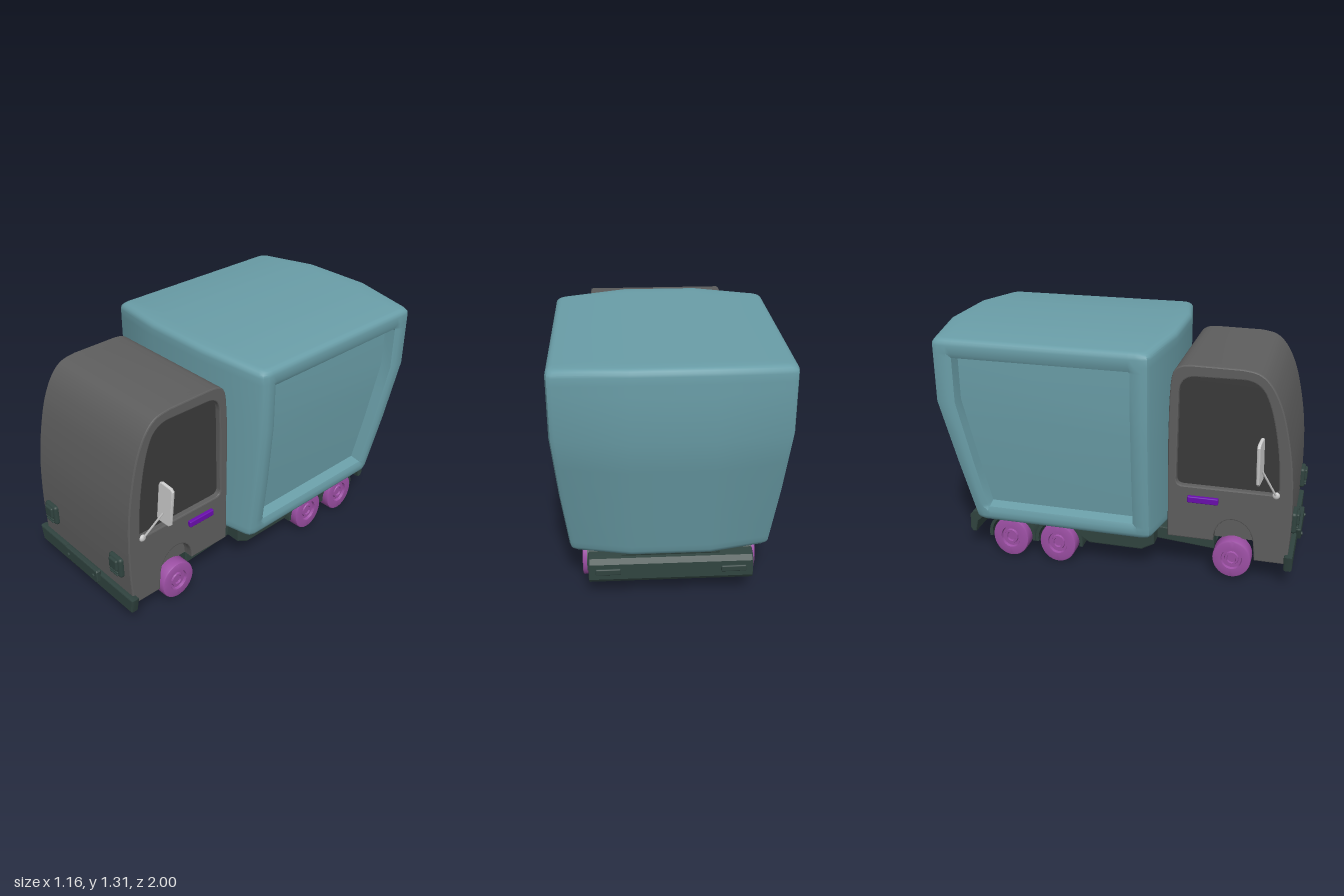
import * as THREE from 'three';
import { toCreasedNormals } from 'three/addons/utils/BufferGeometryUtils.js';
import { RoundedBoxGeometry } from 'three/addons/geometries/RoundedBoxGeometry.js';

const mat = (color) => new THREE.MeshStandardMaterial({ color });
const V2 = (p) => new THREE.Vector2(p[0], p[1]);
const { lerp, clamp } = THREE.MathUtils;

export function createModel() {
  const truck = new THREE.Group();
  const cabMat = mat(0x5e5e5e), glassMat = mat(0x3a3a3a), boxMat = mat(0x6a9ea8);
  const darkMat = mat(0x30433f), wheelMat = mat(0x9c4fa4), handleMat = mat(0x6a0dad), greyMat = mat(0xcccccc);

  const add = (name, geo, material, x = 0, y = 0, z = 0) => {
    const m = new THREE.Mesh(geo, material);
    m.name = name;
    m.position.set(x, y, z);
    truck.add(m);
    return m;
  };
  const rbox = (w, h, d, r) => new RoundedBoxGeometry(w, h, d, 3, r);
  const extrude = (shape, depth, bevel) => toCreasedNormals(new THREE.ExtrudeGeometry(shape, {
    depth: depth - 2 * bevel, curveSegments: 12, bevelEnabled: bevel > 0,
    bevelSize: bevel, bevelThickness: bevel, bevelOffset: -bevel, bevelSegments: 2,
  }).translate(0, 0, bevel), 0.36);
  // Extrudes a side profile (z, y) across the width from x0 to x1
  const slab = (shape, x0, x1, bevel = 0) =>
    extrude(shape, x1 - x0, bevel).rotateY(-Math.PI / 2).translate(x1, 0, 0);
  // The same slab on the left (s = 1) or right (s = -1) side
  const sideSlab = (s, shape, a, b, bevel) => (s > 0 ? slab(shape, a, b, bevel) : slab(shape, -b, -a, bevel));
  const poly = (pts) => new THREE.Shape(pts.map(V2));

  // ---- Cargo box: rings stacked in height, with a recessed panel in each side
  const table = (t, y) => {
    for (let i = 1; i < t.length; i++) {
      if (y <= t[i][0] || i === t.length - 1) {
        const k = clamp((y - t[i - 1][0]) / (t[i][0] - t[i - 1][0]), 0, 1);
        return lerp(t[i - 1][1], t[i][1], k);
      }
    }
  };
  const halfWidth = [[0.235, 0.51], [0.6, 0.55], [0.95, 0.578], [1.3, 0.58]];
  const backZ = [[0.235, -0.835], [0.95, -1], [1.3, -1]];
  const panelBackZ = [[0.32, -0.705], [0.95, -0.83], [1.3, -0.83]];
  // level: 0 outer skin, 1 rounded lip of the recess, 2 panel
  const boxRing = (y, inset, level, xMax) => {
    const w = table(halfWidth, y) - inset, zf = 0.285 - inset, zb = table(backZ, y) + inset;
    const zr = table(panelBackZ, y);
    const wide = (k) => w - [0, 0.012, 0.072][Math.min(k, level)];
    const half = [[0, zf], [0.2, zf], [w - 0.03, zf - 0.06], [w - 0.009, zf - 0.072], [w, zf - 0.1],
      [w, 0.15], [wide(1), 0.124], [wide(2), 0.116],
      [wide(2), zr + 0.008], [wide(1), zr], [w, zr - 0.026],
      [w, zb + 0.1], [w - 0.009, zb + 0.072], [w - 0.03, zb + 0.06], [0.2, zb], [0, zb]];
    const ring = half.map(([x, z]) => {
      const xx = Math.min(x, xMax);
      const crown = y > 1.2 ? 0.02 * (1 - clamp((xx - 0.2) / 0.35, 0, 1)) : 0;
      return [xx, y + crown, z];
    });
    return [...ring, ...ring.slice().reverse().map(([x, y2, z]) => [-x, y2, z])];
  };
  const r = 0.035, y0 = 0.235, y1 = 1.295, rows = [boxRing(y0, r, 0, 0)];
  for (let k = 0; k <= 4; k++) {
    const a = k * Math.PI / 8;
    rows.push(boxRing(y0 + r * (1 - Math.cos(a)), r * (1 - Math.sin(a)), 0, 1));
  }
  rows.push(boxRing(0.302, 0, 0, 1), boxRing(0.326, 0, 1, 1));
  for (const y of [0.34, 0.6, 0.78, 0.95, 1.186]) rows.push(boxRing(y, 0, 2, 1));
  rows.push(boxRing(1.194, 0, 1, 1), boxRing(1.22, 0, 0, 1));
  for (let k = 0; k <= 4; k++) {
    const a = k * Math.PI / 8;
    rows.push(boxRing(y1 - r * (1 - Math.sin(a)), r * (1 - Math.cos(a)), 0, 1));
  }
  rows.push(boxRing(y1, r, 0, 0.2), boxRing(y1, r, 0, 0));
  const n = rows[0].length, index = [];
  for (let i = 0; i < rows.length - 1; i++) {
    for (let j = 0; j < n; j++) {
      const a = i * n + j, b = i * n + (j + 1) % n;
      index.push(a, b, a + n, b, b + n, a + n);
    }
  }
  const boxGeo = new THREE.BufferGeometry();
  boxGeo.setAttribute('position', new THREE.Float32BufferAttribute(rows.flat(2), 3));
  boxGeo.setIndex(index);
  add('cargoBox', toCreasedNormals(boxGeo.toNonIndexed(), 0.6), boxMat);

  // ---- Cab: side profile, with wheel arches and window recesses in the outer layers
  const cabShape = (arch) => {
    const s = new THREE.Shape();
    s.moveTo(0.29, 0.22);
    if (arch) {
      s.lineTo(0.54, 0.22);
      s.bezierCurveTo(0.54, 0.4, 0.73, 0.4, 0.755, 0.24);
      s.lineTo(0.765, 0.13);
    } else {
      s.lineTo(0.9, 0.22);
      s.lineTo(0.9, 0.13);
    }
    s.lineTo(0.94, 0.13);
    s.splineThru([[0.95, 0.35], [0.945, 0.58], [0.925, 0.76], [0.885, 0.95], [0.84, 1.07],
      [0.79, 1.145], [0.735, 1.183], [0.66, 1.197]].map(V2));
    s.lineTo(0.4, 1.2);
    s.splineThru([[0.35, 1.193], [0.315, 1.17], [0.297, 1.12], [0.288, 1.0]].map(V2));
    s.lineTo(0.285, 0.8);
    return s;
  };
  const windowPath = (s) => {
    s.moveTo(0.37, 0.53);
    s.lineTo(0.84, 0.53);
    s.quadraticCurveTo(0.875, 0.53, 0.874, 0.57);
    s.bezierCurveTo(0.87, 0.75, 0.83, 0.97, 0.785, 1.06);
    s.quadraticCurveTo(0.75, 1.14, 0.66, 1.14);
    s.lineTo(0.42, 1.137);
    s.quadraticCurveTo(0.345, 1.135, 0.338, 1.05);
    s.lineTo(0.332, 0.57);
    s.quadraticCurveTo(0.332, 0.53, 0.37, 0.53);
    return s;
  };
  add('cabCore', slab(cabShape(false), -0.335, 0.335), cabMat);
  const doorShape = cabShape(true);
  doorShape.holes.push(windowPath(new THREE.Path()));
  for (const s of [-1, 1]) {
    add('cabWall', sideSlab(s, cabShape(true), 0.335, 0.357), cabMat);
    add('cabDoor', sideSlab(s, doorShape, 0.348, 0.395, 0.007), cabMat);
    add('sideWindow', sideSlab(s, windowPath(new THREE.Shape()), 0.345, 0.362), glassMat);
    add('doorHandle', rbox(0.026, 0.036, 0.165, 0.006), handleMat, s * 0.402, 0.46, 0.48);

    // Mirror on its arm
    const plate = poly([[-0.03, 0.12], [-0.015, 0.125], [0.043, 0.112], [0.056, 0.095], [0.035, -0.11],
      [0.02, -0.124], [-0.045, -0.115], [-0.058, -0.098], [-0.037, 0.105]].map(([x, y]) => [s * x, y]));
    add('mirror', extrude(plate, 0.018, 0.006).translate(0, 0, -0.009), greyMat, s * 0.489, 0.75, 0.78).rotation.y = s * 0.14;
    const arm = new THREE.LineCurve3(new THREE.Vector3(s * 0.4, 0.53, 0.862), new THREE.Vector3(s * 0.48, 0.7, 0.79));
    add('mirrorArm', new THREE.TubeGeometry(arm, 1, 0.006, 8), greyMat);
    add('mirrorPivot', new THREE.SphereGeometry(0.02, 12, 8), greyMat, s * 0.396, 0.53, 0.862).scale.x = 0.6;

    // Headlight
    add('headlightFrame', rbox(0.102, 0.12, 0.035, 0.016), darkMat, s * 0.293, 0.35, 0.957);
    add('headlightLens', rbox(0.066, 0.066, 0.022, 0.01), darkMat, s * 0.293, 0.367, 0.976);
    for (const y of [0.307, 0.322]) add('headlightSlat', rbox(0.066, 0.01, 0.016, 0.004), darkMat, s * 0.293, y, 0.975);
  }

  // ---- Front bumper and plate holder
  const bumper = poly([[-0.428, 0.19], [-0.41, 0.1], [0.41, 0.1], [0.428, 0.19]]);
  add('frontBumper', extrude(bumper, 0.045, 0.008), darkMat, 0, 0, 0.925);
  const plateShape = poly([[-0.15, 0.215], [-0.125, 0.15], [-0.112, 0.143], [0.135, 0.138], [0.146, 0.15],
    [0.148, 0.212], [0.14, 0.22], [-0.142, 0.22]]);
  add('plateHolder', extrude(plateShape, 0.03, 0.006), darkMat, 0, 0, 0.962);
  for (const x of [-0.115, 0.115]) {
    add('plateBolt', new THREE.CylinderGeometry(0.011, 0.011, 0.012, 12).rotateX(Math.PI / 2), darkMat, x, 0.18, 0.994);
  }

  // ---- Chassis
  const frame = poly([[0.9, 0.23], [0.88, 0.17], [0.74, 0.19], [0.56, 0.19], [0.54, 0.14], [0.22, 0.165],
    [-0.8, 0.165], [-0.83, 0.245], [0.28, 0.25]]);
  add('chassisFrame', slab(frame, -0.25, 0.25), darkMat);
  const tank = poly([[0.22, 0.245], [0.22, 0.165], [0.15, 0.125], [-0.15, 0.125], [-0.22, 0.165], [-0.22, 0.245]]);
  const step = poly([[0.54, 0.22], [0.54, 0.14], [0.22, 0.165], [0.22, 0.24]]);
  for (const s of [-1, 1]) {
    add('sideTank', sideSlab(s, tank, 0.24, 0.42, 0.008), darkMat);
    add('sideStep', sideSlab(s, step, 0.24, 0.34, 0.006), darkMat);
    add('tailLight', rbox(0.13, 0.035, 0.02, 0.007), darkMat, s * 0.32, 0.17, -0.866);
  }
  const rearBumper = poly([[-0.79, 0.245], [-0.845, 0.235], [-0.865, 0.21], [-0.868, 0.125], [-0.855, 0.105],
    [-0.835, 0.105], [-0.82, 0.17], [-0.79, 0.2]]);
  add('rearBumper', slab(rearBumper, -0.42, 0.42, 0.006), darkMat);

  // ---- Wheels, axles and rear mudguards
  const wheelProfile = [[0, -0.045], [0.1, -0.045], [0.107, -0.042], [0.11, -0.035], [0.11, 0.035], [0.107, 0.042],
    [0.1, 0.045], [0.06, 0.045], [0.056, 0.03], [0.042, 0.03], [0.038, 0.04], [0.027, 0.04], [0.024, 0.03], [0, 0.03]];
  const wheelGeo = toCreasedNormals(new THREE.LatheGeometry(wheelProfile.map(V2), 36).toNonIndexed(), 0.7)
    .rotateZ(-Math.PI / 2);
  const diff = [[0, -0.06], [0.04, -0.06], [0.054, -0.045], [0.068, -0.025], [0.068, 0.025], [0.054, 0.045],
    [0.04, 0.06], [0, 0.06]];
  const diffGeo = toCreasedNormals(new THREE.LatheGeometry(diff.map(V2), 20).toNonIndexed(), 0.6).rotateZ(-Math.PI / 2);
  const axles = [['front', 0.645, 0.125, 0.357], ['rear', -0.325, 0.118, 0.41], ['rear', -0.605, 0.118, 0.41]];
  for (const [end, z, y, x] of axles) {
    for (const s of [-1, 1]) {
      const wheel = add(end + 'Wheel', wheelGeo, wheelMat, s * x, y, z);
      wheel.scale.set(1, end === 'front' ? 1 : 1.07, 0.95);
      if (s < 0) wheel.rotation.y = Math.PI;
      if (end === 'rear') {
        const guard = new THREE.Shape();
        guard.absarc(z, y, 0.139, -0.15, Math.PI + 0.15, false);
        guard.absarc(z, y, 0.122, Math.PI + 0.15, -0.15, true);
        add('mudguard', sideSlab(s, guard, 0.33, 0.43), darkMat);
      }
    }
    add(end + 'Axle', new THREE.CylinderGeometry(0.034, 0.034, 2 * x - 0.04, 16).rotateZ(Math.PI / 2), darkMat, 0, y, z);
    add('differential', diffGeo, darkMat, 0, y, z);
    add('axleMount', rbox(0.3, 0.08, 0.06, 0.01), darkMat, 0, y + 0.065, z);
  }
  return truck;
}
